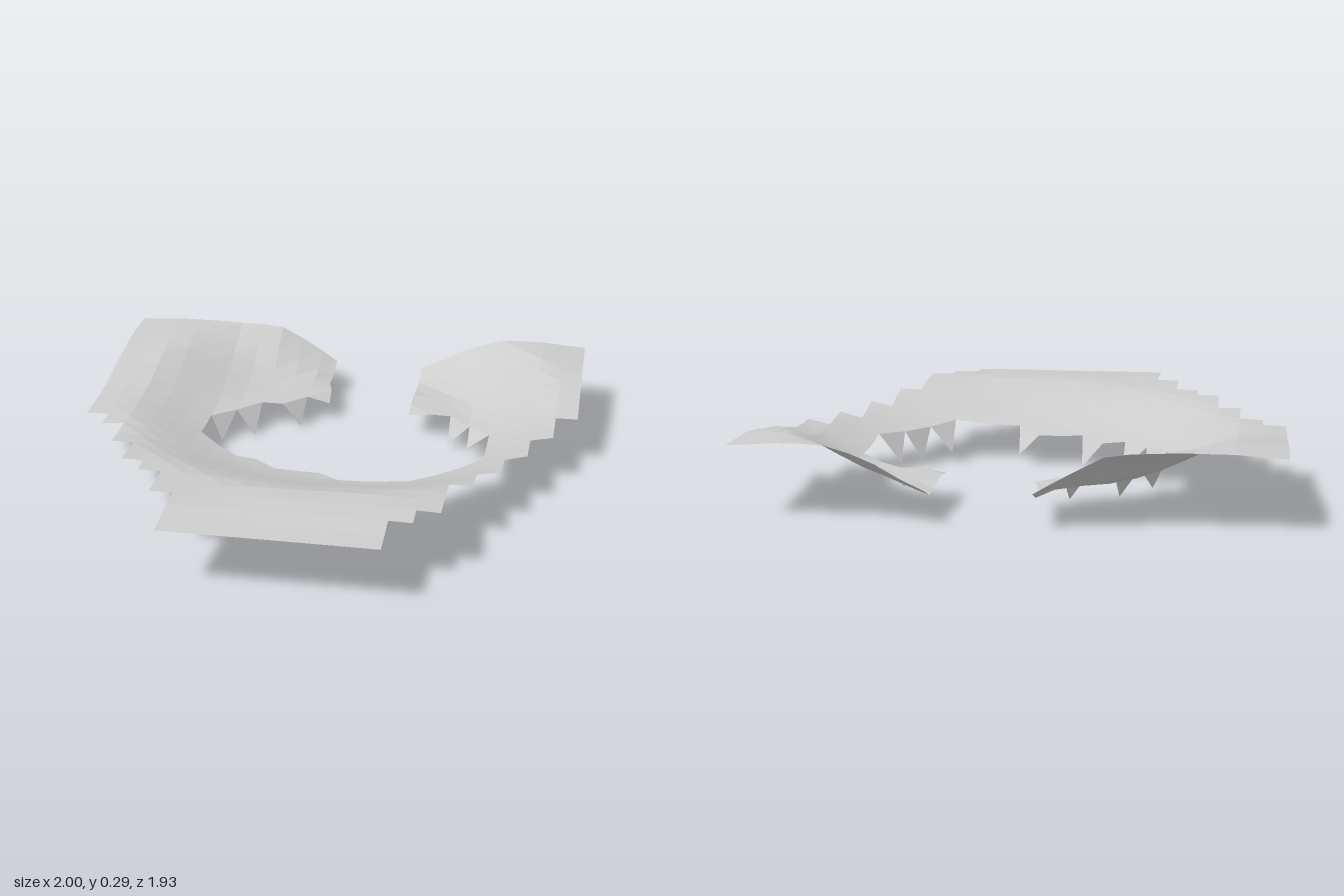
import * as THREE from 'three';

const CELL = 1 / 11;
const Z0 = -0.945;

// Each row, back to front: outer left, inner left, inner right, outer right column.
// A half column means a triangular half cell on the rim of the hole.
const ROWS = [
  [0, 10, 14, 22], [0, 10, 14, 22], [0, 10, 14, 22], [0, 9.5, 14, 22],
  [0, 8.5, 14.5, 22], [0, 6.5, 16.5, 22], [0, 5.5, 17.5, 22],
  [0, 5, 18, 21], [0, 5, 18, 21], [0, 5.5, 18, 20],
  [1, 6.5, 17.5, 20], [2, 8.5, 16.5, 19], [2, 11.5, 15.5, 19],
  [3, 10, 10, 18], [3, 10, 10, 18], [4, 10, 10, 17], [5, 10, 10, 17],
  [5, 10, 10, 17], [6, 10, 10, 16], [6, 10, 10, 15], [6, 10, 10, 15],
];

// Teeth: base corners as grid column and row, then the tip x, y, z.
const TEETH = [
  [9, 4, 10, 3, -0.08, 0.08, -0.6], [8, 5, 9, 4, -0.19, 0.01, -0.5],
  [6, 6, 7, 5, -0.37, 0, -0.39], [5, 7, 6, 6, -0.49, 0.015, -0.29],
  [5, 9, 6, 10, -0.46, 0.01, -0.13], [6, 10, 7, 11, -0.35, 0.02, -0.03],
  [8, 11, 9, 12, -0.18, 0.015, 0.06], [11, 12, 12, 13, 0.09, 0.04, 0.15],
  [15, 13, 16, 12, 0.37, 0.045, 0.14], [16, 12, 17, 11, 0.48, 0.02, 0.06],
  [17, 11, 18, 10, 0.55, 0.03, -0.03], [17, 6, 18, 7, 0.55, 0.05, -0.32],
  [16, 5, 17, 6, 0.46, 0.02, -0.41], [14, 4, 15, 5, 0.28, 0.1, -0.5],
];

const smooth = (a, b, v) => THREE.MathUtils.smoothstep(v, a, b);
const bell = (v) => Math.exp(-v * v);

// Ground height: a low rim around the hole rising to a rolling plateau.
function height(x, z) {
  const dx = x - 0.04, dz = z + 0.3, r = Math.hypot(dx, dz);
  const front = Math.max(0, dz / r) ** 2;
  const start = 0.55 - 0.17 * front;
  const end = 0.9 + 0.02 * front;
  const t = THREE.MathUtils.clamp((r - start) / (end - start), 0, 1);
  const rise = 0.5 * t + 0.5 * smooth(0, 1, t);
  const top = 0.232 + 0.058 * smooth(0.15, 0.7, Math.abs(z + 0.05))
    - 0.024 * smooth(0.7, 0.96, z)
    - 0.018 * bell((z - 0.6) / 0.2) * Math.min(1, ((x - 0.2) / 0.5) ** 2)
    - 0.012 * smooth(0.8, 1, Math.abs(x));
  // back ends: a hump on one side, drooping tips on both
  const back = smooth(0.65, 0.95, -z);
  const ends = 0.05 * bell((x + 0.36) / 0.13) - 0.03 * bell((x + 0.08) / 0.08)
    - 0.05 * bell((x - 0.27) / 0.14);
  return 0.113 + (top - 0.113) * rise + back * ends;
}

function point(col, row) {
  const gx = -1 + col * CELL;
  const x = gx + 0.008 * (1 - gx * gx);
  const z = Z0 + row * CELL;
  const bulge = row === 0 ? 0.024 * bell((x + 0.3) / 0.17) : 0;
  const pull = row < 3 && col === 10 ? 0.023 : 0;
  return [x - pull, height(x, z), z - bulge];
}

function triangles(points, material, name) {
  const geometry = new THREE.BufferGeometry();
  geometry.setAttribute('position', new THREE.Float32BufferAttribute(points.flat(), 3));
  geometry.computeVertexNormals();
  const mesh = new THREE.Mesh(geometry, material);
  mesh.name = name;
  return mesh;
}

export function createModel() {
  const group = new THREE.Group();
  group.name = 'jaggedTerrainRing';
  const material = new THREE.MeshStandardMaterial({
    color: 0xcccccc, flatShading: true, side: THREE.DoubleSide,
  });

  // Stepped sheet with the open hole
  const sheet = [];
  ROWS.forEach(([outL, inL, inR, outR], row) => {
    const corners = (c) => ({
      tl: point(c, row), tr: point(c + 1, row), bl: point(c, row + 1), br: point(c + 1, row + 1),
    });
    const full = (from, to) => {
      for (let c = from; c < to; c++) {
        const { tl, tr, bl, br } = corners(c);
        // diagonals follow the slope around the hole
        if ((c < 11) === (row < 8)) sheet.push(tl, bl, tr, tr, bl, br);
        else sheet.push(tl, bl, br, tl, br, tr);
      }
    };
    full(outL, Math.floor(inL));
    full(Math.ceil(inR), outR);
    if (inL % 1) {
      const { tl, tr, bl, br } = corners(Math.floor(inL));
      sheet.push(tl, bl, row < 8 ? tr : br);
    }
    if (inR % 1) {
      const { tl, tr, bl, br } = corners(Math.floor(inR));
      sheet.push(tr, row < 8 ? tl : bl, br);
    }
  });
  group.add(triangles(sheet, material, 'terrainSheet'));

  // Pointed teeth hanging from the rim
  const teeth = new THREE.Group();
  teeth.name = 'rimTeeth';
  for (const [c0, r0, c1, r1, x, y, z] of TEETH) {
    teeth.add(triangles([point(c0, r0), point(c1, r1), [x, y, z]], material, 'tooth'));
  }
  group.add(teeth);
  return group;
}
